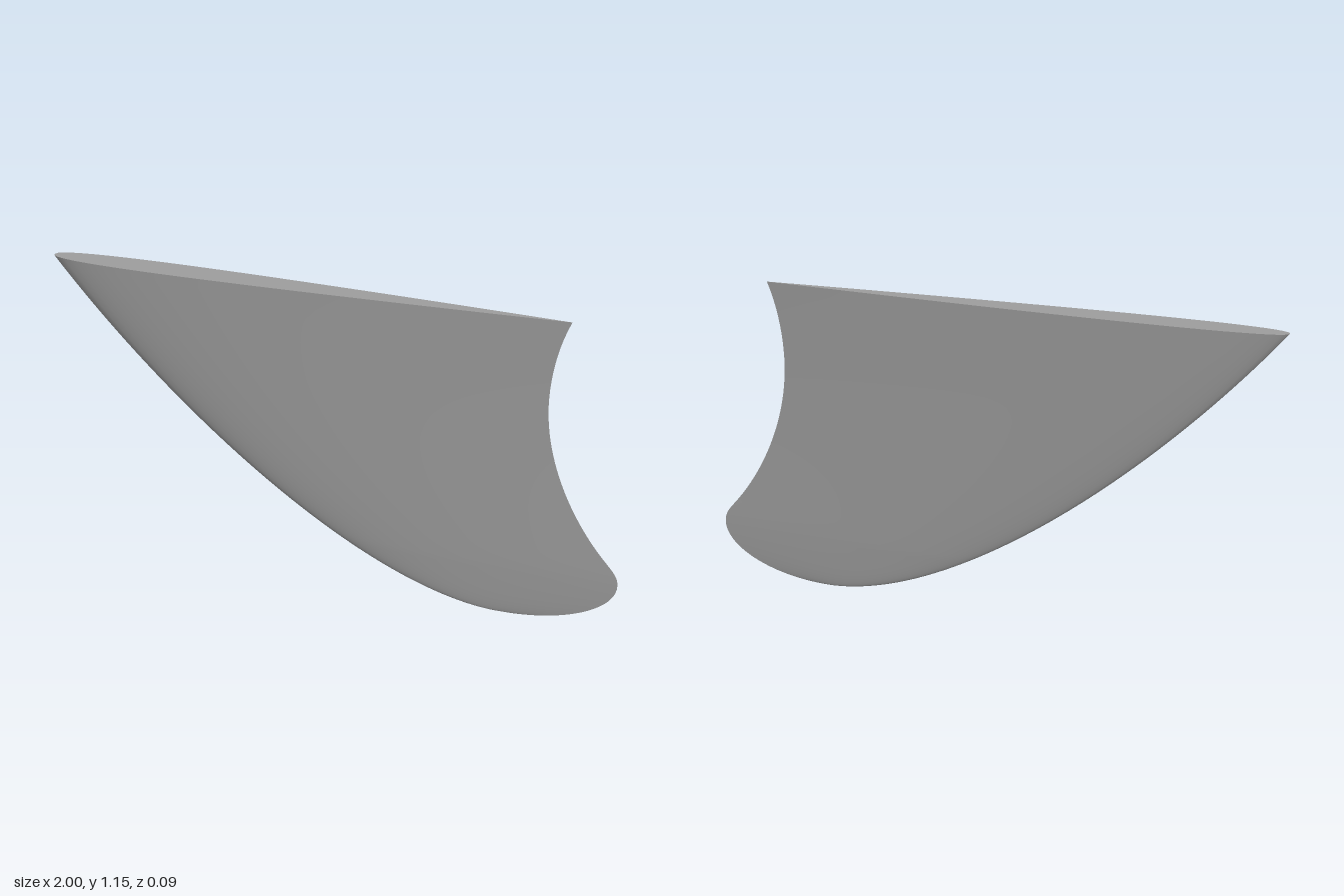
import * as THREE from 'three';

const HEIGHT = 1.15, ROWS = 72, HALF = 28;

// Chain of cubic Beziers through [value, y] points (each piece shares its end
// with the next), returned as a lookup value(y)
function profile(points) {
  const p = points.map(([v, y]) => new THREE.Vector2(v, y));
  const samples = [p[0]];
  for (let i = 0; i + 3 < p.length; i += 3) {
    samples.push(...new THREE.CubicBezierCurve(p[i], p[i + 1], p[i + 2], p[i + 3]).getPoints(200).slice(1));
  }
  return (y) => {
    let i = 1;
    while (i < samples.length - 1 && samples[i].y < y) i++;
    const a = samples[i - 1], b = samples[i];
    const t = THREE.MathUtils.clamp((y - a.y) / (b.y - a.y || 1), 0, 1);
    return a.x + (b.x - a.x) * t;
  };
}

// Swept leading edge, hooked trailing edge and half thickness, from tip to base
const leading = profile([[0.6, 0], [0.12, 0], [-0.58, 0.59], [-1, HEIGHT]]);
const trailing = profile([[0.6, 0], [0.82, 0], [0.998, 0.09], [0.998, 0.195],
  [0.998, 0.235], [0.975, 0.256], [0.955, 0.28],
  [0.82, 0.43], [0.709, 0.66], [0.709, 0.88],
  [0.709, 0.98], [0.727, 1.075], [0.757, HEIGHT]]);
const thickness = profile([[0, 0], [0.011, 0], [0.0145, 0.1], [0.02, 0.2],
  [0.0265, 0.4], [0.0385, 0.8], [0.0465, HEIGHT]]);

// Teardrop foil section: 0 at both ends, 1 at its thickest point, a quarter of the way back
function foil(chord) {
  const u = chord ** 0.85;
  return 10 * (0.2969 * Math.sqrt(u) - 0.126 * u - 0.3516 * u * u + 0.2843 * u ** 3 - 0.1036 * u ** 4);
}

// One closed section: trailing edge, +z side, leading edge, -z side, trailing edge
function section(y) {
  const x0 = leading(y), x1 = trailing(y), h = thickness(y), ring = [];
  for (let i = 0; i <= 2 * HALF; i++) {
    const u = (1 + Math.cos((Math.PI * i) / HALF)) / 2;
    const side = i <= HALF ? 1 : -1;
    ring.push(x0 + (x1 - x0) * u, y, side * h * Math.max(0, foil(u)));
  }
  return ring;
}

function buildGeometry(positions, index) {
  const geometry = new THREE.BufferGeometry();
  geometry.setAttribute('position', new THREE.Float32BufferAttribute(positions, 3));
  geometry.setIndex(index);
  geometry.computeVertexNormals();
  return geometry;
}

export function createModel() {
  const group = new THREE.Group();
  group.name = 'fin';
  const material = new THREE.MeshStandardMaterial({ color: 0x9d9d9d });
  const add = (name, geometry) => {
    const mesh = new THREE.Mesh(geometry, material);
    mesh.name = name;
    group.add(mesh);
  };

  // Blade: sections lofted from the rounded tip to the base, denser at the tip
  const positions = [], index = [], n = 2 * HALF + 1;
  for (let j = 0; j <= ROWS; j++) positions.push(...section(HEIGHT * (j / ROWS) ** 2));
  for (let j = 0; j < ROWS; j++) {
    for (let i = 0; i < n - 1; i++) {
      const a = j * n + i, b = a + n;
      index.push(a, b, a + 1, a + 1, b, b + 1);
    }
  }
  add('blade', buildGeometry(positions, index));

  // Flat base closing the widest section
  const cap = [];
  for (let i = 0; i < HALF; i++) {
    const p = i, q = n - 1 - i;
    cap.push(p, q, p + 1, p + 1, q, q - 1);
  }
  add('base', buildGeometry(section(HEIGHT), cap));

  return group;
}
